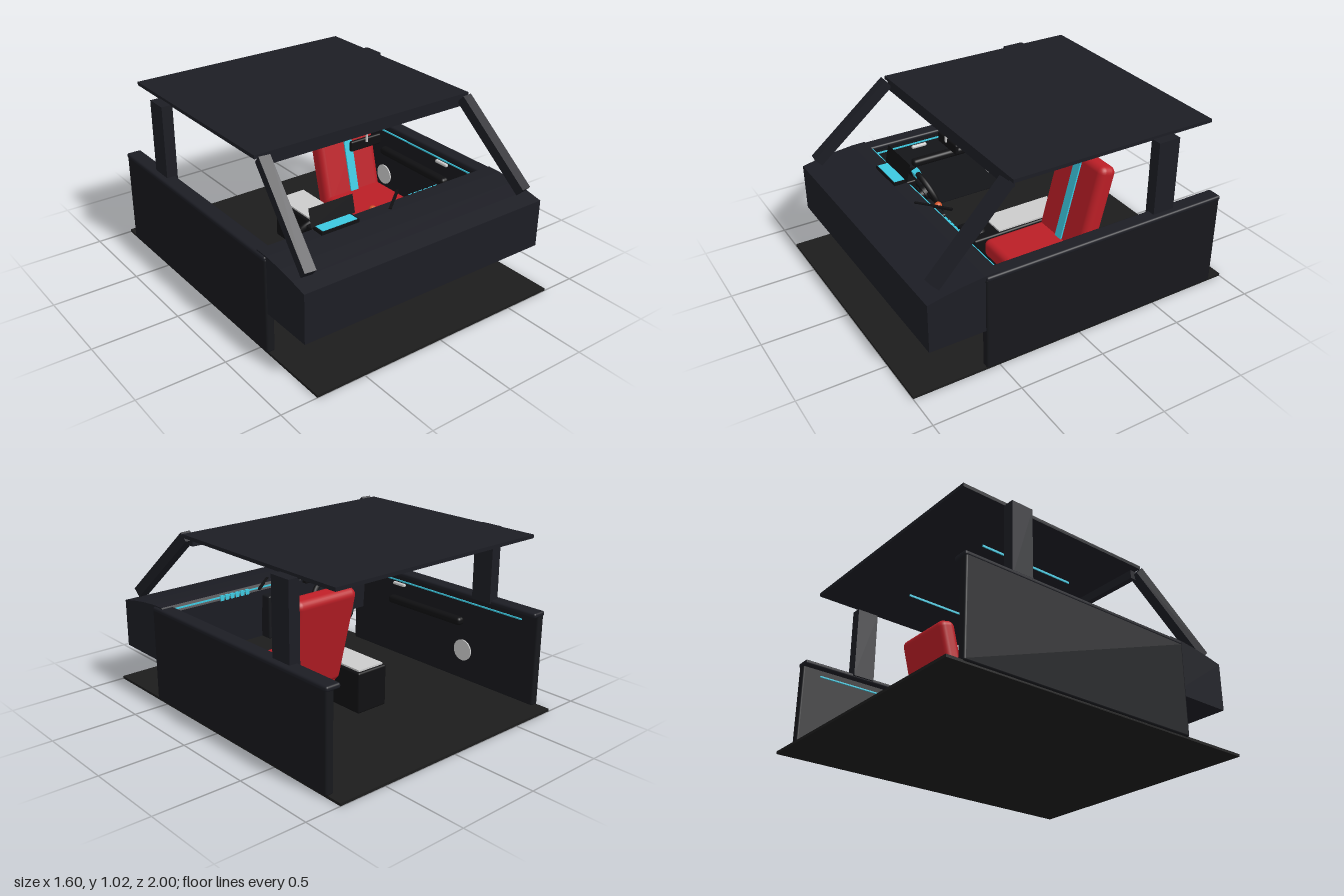
import * as THREE from 'three';
import { RoundedBoxGeometry } from 'three/addons/geometries/RoundedBoxGeometry.js';

const mat = (color, side = THREE.FrontSide) => new THREE.MeshStandardMaterial({ color, side });
const body = mat(0x1c1d24), panel = mat(0x17181c), carpet = mat(0x1c1c1c), black = mat(0x101012);
const red = mat(0xbb1e26), cyan = mat(0x3cc8e0), silver = mat(0xcccccc), amber = mat(0xd9a02a), orange = mat(0xd2552a);
const glass = mat(0x101012, THREE.DoubleSide);

export function createModel() {
  const root = new THREE.Group();

  const add = (name, geo, material, x = 0, y = 0, z = 0, parent = root) => {
    const m = new THREE.Mesh(geo, material);
    m.name = name;
    m.position.set(x, y, z);
    parent.add(m);
    return m;
  };
  // Box given by its limits on each axis
  const box = (name, material, [x0, x1], [y0, y1], [z0, z1], r = 0, parent = root) => {
    const s = [x1 - x0, y1 - y0, z1 - z0];
    const geo = r ? new RoundedBoxGeometry(...s, 3, r) : new THREE.BoxGeometry(...s);
    return add(name, geo, material, (x0 + x1) / 2, (y0 + y1) / 2, (z0 + z1) / 2, parent);
  };
  // Square bar between two points
  const beam = (name, material, a, b, w, h) => {
    const p = new THREE.Vector3(...a), q = new THREE.Vector3(...b);
    const m = add(name, new THREE.BoxGeometry(w, h, p.distanceTo(q)), material);
    m.position.copy(p).lerp(q, 0.5);
    m.lookAt(q);
    return m;
  };
  // Limits on the x axis, mirrored when s is -1
  const side = (s, a, b) => (s > 0 ? [a, b] : [-b, -a]);

  // Floor and roof
  box('floor', carpet, [-0.79, 0.79], [0, 0.015], [-1, 1]);
  box('roof', body, [-0.71, 0.71], [1, 1.02], [-0.87, 0.375]);
  box('windshieldHeader', body, [-0.67, 0.67], [0.95, 1.005], [0.34, 0.375]);

  for (const s of [1, -1]) {
    const n = s > 0 ? 'left' : 'right';
    // Doors with their cap, armrest, trim light, handle and speaker
    box(n + 'Door', panel, side(s, 0.75, 0.8), [0.01, 0.565], [-0.91, 0.58], 0.012);
    box(n + 'DoorCap', body, side(s, 0.712, 0.802), [0.548, 0.577], [-0.915, 0.577], 0.012);
    box(n + 'Armrest', black, side(s, 0.7, 0.755), [0.36, 0.41], [-0.38, 0.22], 0.02);
    box(n + 'DoorLight', cyan, side(s, 0.742, 0.752), [0.505, 0.513], [-0.8, 0.5]);
    box(n + 'DoorHandle', silver, side(s, 0.73, 0.752), [0.478, 0.498], [0.11, 0.21], 0.008);
    const speaker = add(n + 'Speaker', new THREE.CylinderGeometry(0.065, 0.065, 0.012, 32), silver, s * 0.748, 0.2, -0.38);
    speaker.rotation.z = Math.PI / 2;
    // Pillars and roof light
    box(n + 'RearPillar', body, side(s, 0.7, 0.766), [0.56, 1.005], [-0.605, -0.472]);
    beam(n + 'FrontPillar', body, [s * 0.718, 0.585, 0.835], [s * 0.668, 1.0, 0.385], 0.064, 0.06);
    box(n + 'RoofLight', cyan, side(s, 0.347, 0.353), [0.988, 1], [-0.47, 0.16]);
  }

  // Dashboard, extruded sideways from its side profile
  const profile = [[0.9, 0.25], [0.9, 0.532], [0.8, 0.553], [0.7, 0.57], [0.58, 0.583], [0.5, 0.585], [0.48, 0.55], [0.5, 0.25]];
  const dash = new THREE.Shape(profile.map(([z, y]) => new THREE.Vector2(-z, y)));
  const dashGeo = new THREE.ExtrudeGeometry(dash, { depth: 1.58, bevelEnabled: false });
  dashGeo.rotateY(Math.PI / 2).translate(-0.79, 0, 0);
  add('dashboard', dashGeo, body);
  box('dashLight', cyan, [-0.71, 0.71], [0.562, 0.57], [0.483, 0.491]);
  for (let i = 0; i < 6; i++) {
    const x = 0.2 + i * 0.036;
    box('ventLight', cyan, [x, x + 0.025], [0.545, 0.575], [0.478, 0.498]);
  }
  const stalk = box('dashBar', black, [-0.11, 0.11], [0.578, 0.59], [0.485, 0.5]);
  stalk.position.x = 0.085;
  stalk.rotation.y = 0.7;

  // Centre stack with screen and knob
  box('centreStack', panel, [-0.1, 0.1], [0.25, 0.52], [0.42, 0.5], 0.01);
  box('centreScreen', cyan, [-0.08, 0.08], [0.32, 0.44], [0.414, 0.422]);
  add('knob', new THREE.SphereGeometry(0.022, 16, 12), orange, 0, 0.52, 0.42);

  // Instrument hood and projected display
  box('instrumentHood', black, [-0.46, -0.21], [0.53, 0.588], [0.445, 0.505], 0.008);
  box('displayBase', black, [-0.455, -0.215], [0.575, 0.602], [0.502, 0.578]);
  box('displayEmitter', cyan, [-0.445, -0.225], [0.6, 0.605], [0.507, 0.573]);
  const display = add('displayGlass', new THREE.PlaneGeometry(0.28, 0.104), glass, -0.332, 0.652, 0.498);
  display.rotation.x = -0.24;

  // Steering wheel, tilted with its top away from the driver
  const wheel = new THREE.Group();
  wheel.name = 'steeringWheel';
  wheel.position.set(-0.33, 0.415, 0.33);
  wheel.rotation.x = 0.36;
  root.add(wheel);
  const rim = [];
  for (let i = 0; i < 32; i++) {
    const a = (i / 32) * Math.PI * 2;
    rim.push(new THREE.Vector3(Math.cos(a) * 0.15, Math.max(Math.sin(a) * 0.15, -0.11), 0));
  }
  add('rim', new THREE.TubeGeometry(new THREE.CatmullRomCurve3(rim, true), 64, 0.017, 10, true), black, 0, 0, 0, wheel);
  box('topMarker', cyan, [-0.018, 0.018], [0.13, 0.171], [-0.02, 0.02], 0, wheel);
  box('crossSpoke', black, [-0.145, 0.145], [-0.018, 0.018], [-0.01, 0.01], 0.006, wheel);
  box('lowerSpoke', black, [-0.018, 0.018], [-0.11, 0], [-0.01, 0.01], 0.006, wheel);
  const disc = (name, r, len, m, z) => {
    add(name, new THREE.CylinderGeometry(r, r, len, 24), m, 0, 0, z, wheel).rotation.x = Math.PI / 2;
  };
  disc('hub', 0.045, 0.04, black, 0);
  disc('horn', 0.02, 0.01, amber, -0.024);
  disc('column', 0.028, 0.2, black, 0.1);

  // Centre console with armrest lid and shifter
  box('console', black, [-0.105, 0.105], [0.035, 0.28], [-0.38, 0.25], 0.012);
  box('consoleLid', silver, [-0.09, 0.09], [0.278, 0.29], [-0.365, 0.08]);
  add('shifterBoot', new THREE.CylinderGeometry(0.02, 0.05, 0.05, 20), black, 0, 0.3, 0.17);
  add('shifterStick', new THREE.CylinderGeometry(0.009, 0.009, 0.08, 12), black, 0, 0.35, 0.17);
  add('shifterKnob', new THREE.SphereGeometry(0.024, 16, 12), black, 0, 0.39, 0.17);

  // Passenger seat with reclined back and centre stripe
  box('seatCushion', red, [0.128, 0.535], [0.19, 0.3], [-0.24, 0.21], 0.035);
  const back = new THREE.Group();
  back.name = 'seatBack';
  back.position.set(0.332, 0.5, -0.275);
  back.rotation.x = -0.25;
  root.add(back);
  box('backrest', red, [-0.205, 0.205], [-0.285, 0.295], [-0.055, 0.055], 0.04, back);
  box('seatStripe', cyan, [-0.028, 0.028], [-0.24, 0.265], [0.05, 0.064], 0, back);

  // Rear-view mirror
  box('mirror', black, [-0.1, 0.1], [0.862, 0.92], [0.333, 0.355], 0.009);
  add('mirrorStem', new THREE.CylinderGeometry(0.007, 0.007, 0.06, 12), silver, 0, 0.93, 0.357);

  return root;
}
